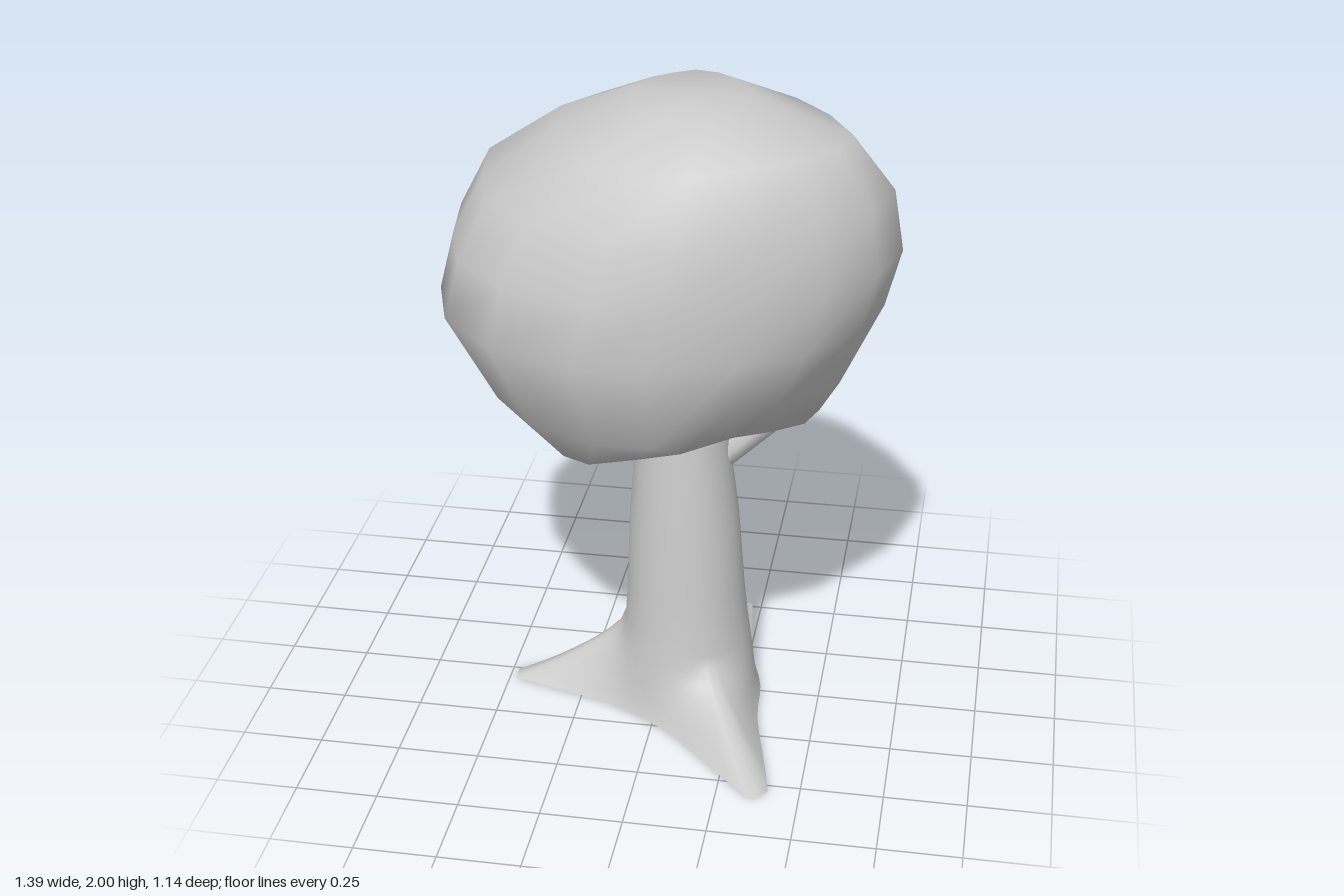
import * as THREE from 'three';
import { mergeVertices } from 'three/addons/utils/BufferGeometryUtils.js';

const material = new THREE.MeshStandardMaterial({ color: 0xcccccc });
const openMaterial = new THREE.MeshStandardMaterial({ color: 0xcccccc, side: THREE.DoubleSide });
const { smoothstep } = THREE.MathUtils;

// Skin closed rings of [x, y, z] points, listed from bottom to top.
function loft(rings) {
  const n = rings[0].length, index = [];
  for (let i = 0; i < rings.length - 1; i++) {
    for (let j = 0; j < n; j++) {
      const a = i * n + j, b = i * n + (j + 1) % n;
      index.push(a, a + n, b, b, a + n, b + n);
    }
  }
  let geometry = new THREE.BufferGeometry();
  geometry.setAttribute('position', new THREE.Float32BufferAttribute(rings.flat(2), 3));
  geometry.setIndex(index);
  geometry = mergeVertices(geometry);
  geometry.computeVertexNormals();
  return geometry;
}

function part(name, geometry, surface = material) {
  const mesh = new THREE.Mesh(geometry, surface);
  mesh.name = name;
  return mesh;
}

// Canopy: one lopsided plan outline, fitted to the extents at each height.
function canopyGeometry() {
  const outline = [
    [0.695, -0.03], [0.64, 0.17], [0.5, 0.36], [0.32, 0.46], [0.07, 0.565], [-0.15, 0.565],
    [-0.42, 0.45], [-0.59, 0.28], [-0.66, 0.06], [-0.695, -0.18], [-0.55, -0.36], [-0.3, -0.49],
    [-0.1, -0.57], [0.18, -0.53], [0.38, -0.43], [0.56, -0.25],
  ];
  // y, min x, max x, min z, max z, lift of the right front corner
  const levels = [
    [1.03, 0.0, 0.0, 0.0, 0.0, 0],
    [1.02, -0.17, 0.22, -0.18, 0.2, 0.02],
    [1.02, -0.34, 0.47, -0.36, 0.36, 0.05],
    [1.13, -0.53, 0.53, -0.46, 0.53, 0.08],
    [1.38, -0.7, 0.65, -0.55, 0.57, 0],
    [1.55, -0.66, 0.695, -0.565, 0.55, 0],
    [1.74, -0.56, 0.665, -0.52, 0.525, 0],
    [1.9, -0.33, 0.54, -0.41, 0.42, 0.02],
    [1.99, -0.1, 0.25, -0.25, 0.2, 0],
    [1.995, 0.07, 0.07, -0.03, -0.03, 0],
  ];
  return loft(levels.map(([y, x0, x1, z0, z1, lift], i) => outline.map(([u, v]) => {
    const x = (x0 + x1) / 2 + (u / 0.695) * (x1 - x0) / 2;
    const z = (z0 + z1) / 2 + (v / 0.567) * (z1 - z0) / 2;
    // Lump sagging below one side
    const sag = i < 3 ? 0.135 * smoothstep(-x, -0.06, 0.18) * Math.exp(-(((z - 0.08) / 0.3) ** 2)) : 0;
    return [x, y - sag + lift * smoothstep(x, 0, 0.3) * smoothstep(z, 0, 0.3), z];
  })));
}

// Trunk: grooved polar rings, open below, that flare into three blunt roots.
function trunkGeometry() {
  const cx = 0.08, cz = 0.005, steps = 16;
  // Tip x, tip z and the height where the root leaves the trunk
  const roots = [[0.38, 0.56, 0.19], [-0.48, 0.03, 0.26], [0.19, -0.53, 0.18]].map(([x, z, height]) => ({
    angle: Math.atan2(z - cz, x - cx), reach: Math.hypot(x - cx, z - cz), height,
  }));
  const grooves = [-0.5, -1.1, -2.3];
  const apart = (a, b) => Math.abs(Math.atan2(Math.sin(a - b), Math.cos(a - b)));

  // Angles between neighbouring roots, crowded towards the root tips
  const angles = [];
  roots.forEach(({ angle }, i) => {
    const gap = apart(roots[(i + 1) % 3].angle, angle);
    for (let j = 0; j < steps; j++) {
      const t = j / steps;
      angles.push(angle + gap * (t - 0.1 * Math.sin(2 * Math.PI * t)));
    }
  });

  // y, trunk radius
  const levels = [
    [0, 0.225], [0.015, 0.22], [0.04, 0.216], [0.075, 0.212], [0.11, 0.21], [0.15, 0.207],
    [0.19, 0.204], [0.23, 0.2], [0.28, 0.194], [0.4, 0.184], [0.65, 0.17], [0.82, 0.152],
    [1.0, 0.138], [1.15, 0.13],
  ];
  return loft(levels.map(([y, radius]) => angles.map((a) => {
    let r = radius;
    for (const g of grooves) {
      r -= 0.16 * radius * smoothstep(y, 0.05, 0.25) * Math.exp(-((apart(a, g) / 0.18) ** 2));
    }
    for (const { angle, reach, height } of roots) {
      const spread = Math.max(1 - y / height, 0) ** 1.45;
      r += spread * (reach - 0.225) * Math.exp(-Math.max(apart(a, angle) - 0.05, 0) / 0.25);
    }
    return [cx - 0.025 * y + r * Math.cos(a), y, cz + r * Math.sin(a)];
  })));
}

// Branch: short stub from the trunk into the canopy.
function branchMesh() {
  const from = new THREE.Vector3(0.13, 0.8, -0.005), to = new THREE.Vector3(0.4, 1.06, -0.005);
  const branch = part('branch', new THREE.CylinderGeometry(0.043, 0.043, from.distanceTo(to), 8));
  branch.position.copy(from).lerp(to, 0.5);
  branch.quaternion.setFromUnitVectors(new THREE.Vector3(0, 1, 0), to.clone().sub(from).normalize());
  return branch;
}

export function createModel() {
  const tree = new THREE.Group();
  tree.name = 'tree';
  tree.add(
    part('canopy', canopyGeometry()),
    part('trunkWithRoots', trunkGeometry(), openMaterial),
    branchMesh(),
  );
  return tree;
}
